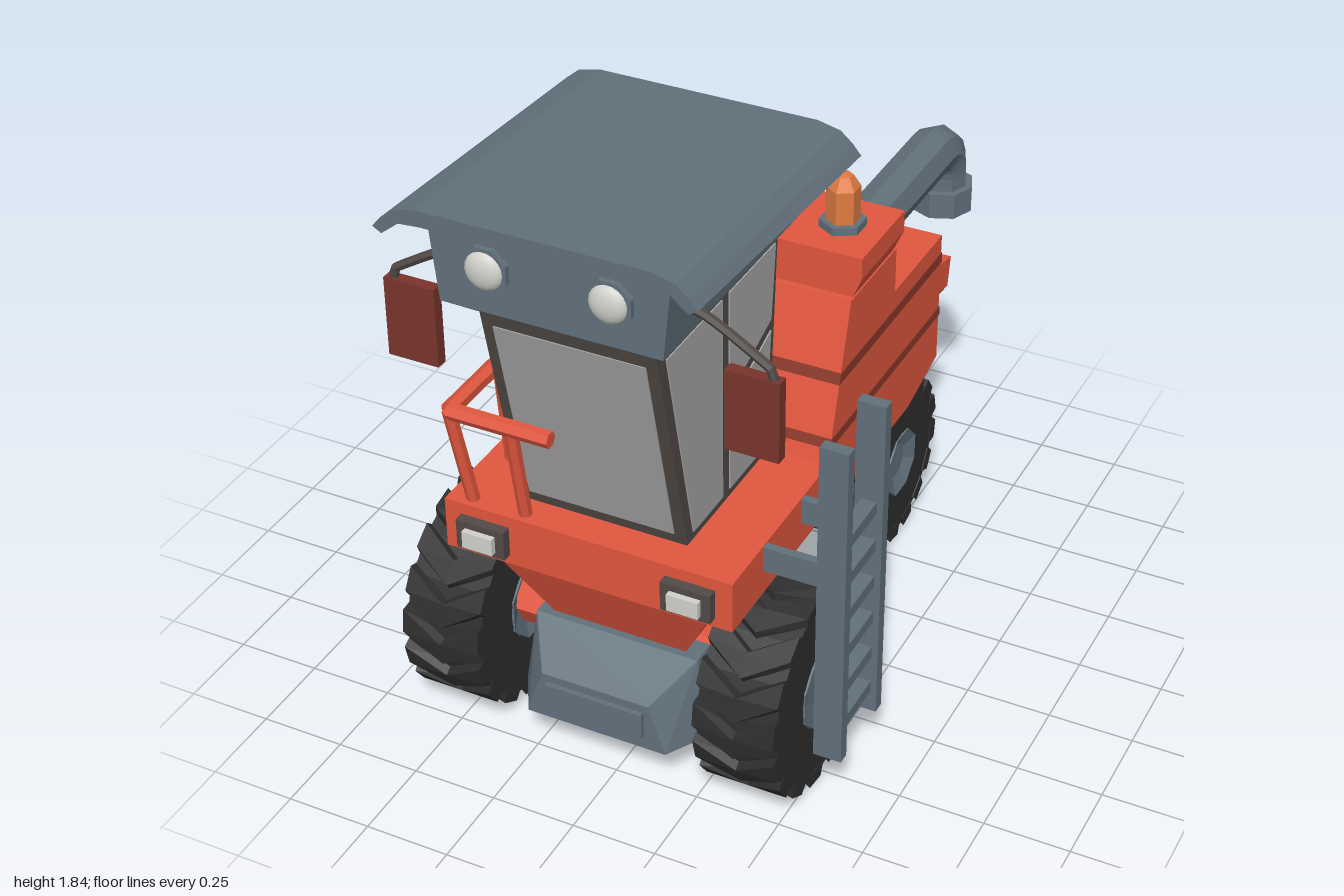
import * as THREE from 'three';
import { mergeGeometries } from 'three/addons/utils/BufferGeometryUtils.js';
import { ConvexGeometry } from 'three/addons/geometries/ConvexGeometry.js';

const V = (x, y, z) => new THREE.Vector3(x, y, z);
const paint = (color) => new THREE.MeshStandardMaterial({ color, flatShading: true });
const RED = paint(0xe2573f), BAND = paint(0x8c382a), MIRROR = paint(0x7a342d), SLATE = paint(0x62717c);
const RUBBER = paint(0x2e2e2e), FRAME = paint(0x524a46), GLASS = paint(0xa6a6a6), AMBER = paint(0xe07b42);
const LENS = new THREE.MeshStandardMaterial({ color: 0xd2d2cc });

function part(name, geo, mat, parent) {
  const m = new THREE.Mesh(geo, mat);
  m.name = name;
  parent.add(m);
  return m;
}

// Box given by its limits on each axis
function box(name, x0, x1, y0, y1, z0, z1, mat, parent) {
  const m = part(name, new THREE.BoxGeometry(x1 - x0, y1 - y0, z1 - z0), mat, parent);
  m.position.set((x0 + x1) / 2, (y0 + y1) / 2, (z0 + z1) / 2);
  return m;
}

// Convex solid from symmetric corner entries [half width, y, z]
const solid = (name, list, mat, parent) =>
  part(name, new ConvexGeometry(list.flatMap(([x, y, z]) => [V(x, y, z), V(-x, y, z)])), mat, parent);

// Horizontal rectangle for solid(): half width, height, front and rear z
const level = (w, y, front, rear) => [[w, y, front], [w, y, rear]];

// Side outline of [z, y] points extruded across x
function slab(name, outline, halfWidth, mat, parent) {
  const s = new THREE.Shape(outline.map(([z, y]) => new THREE.Vector2(-z, y)));
  const g = new THREE.ExtrudeGeometry(s, { depth: halfWidth * 2, bevelEnabled: false });
  g.translate(0, 0, -halfWidth).rotateY(Math.PI / 2);
  return part(name, g, mat, parent);
}

// Straight bar between two points
function bar(name, a, b, r, mat, parent) {
  const m = part(name, new THREE.CylinderGeometry(r, r, a.distanceTo(b), 6), mat, parent);
  m.position.copy(a).lerp(b, 0.5);
  m.quaternion.setFromUnitVectors(V(0, 1, 0), b.clone().sub(a).normalize());
  return m;
}

const lathe = (pts, n) => new THREE.LatheGeometry(pts.map(([r, y]) => new THREE.Vector2(r, y)), n).rotateZ(Math.PI / 2);

// Wheel on the x axis: tyre with chevron lugs and an eight-sided hub
function wheel(name, R, w, hub) {
  const g = new THREE.Group();
  g.name = name;
  const r0 = R - 0.024, h = w / 2, n = 16, lugs = [];
  part('tyre', lathe([[hub, -h + 0.003], [r0, -h + 0.003], [r0, h - 0.003], [hub, h - 0.003]], 32), RUBBER, g);
  for (let i = 0; i < n; i++) for (const side of [-1, 1]) {
    const pts = [];
    for (const [x, shift] of [[0, -0.1], [side * h, 0.14]])
      for (const [r, half] of [[r0 - 0.015, 0.16], [R, 0.11]])
        for (const s of [-half, half]) {
          const a = (i / n) * Math.PI * 2 + shift + s;
          pts.push(V(x, r * Math.sin(a), r * Math.cos(a)));
        }
    lugs.push(new ConvexGeometry(pts));
  }
  part('treadLugs', mergeGeometries(lugs), RUBBER, g);
  const c = h * 0.82;
  const rim = lathe([[0, -c], [hub * 0.55, -c], [hub * 1.04, -h - 0.002], [hub * 1.04, h + 0.002], [hub * 0.55, c], [0, c]], 8);
  part('hub', rim.rotateX(Math.PI / 8), SLATE, g);
  return g;
}

export function createModel() {
  const model = new THREE.Group();
  model.name = 'combineHarvester';
  // The machine is symmetric about a line beside the ladder offset
  const m = new THREE.Group();
  m.name = 'machine';
  m.position.x = -0.05;
  model.add(m);

  // Main body, bands, hood and rear housing
  slab('body', [[0.79, 0.66], [0.79, 0.815], [0.2, 0.815], [0.07, 1.27], [-0.235, 1.27], [-0.235, 1.13],
    [-0.575, 1.13], [-0.575, 0.715], [-0.37, 0.66]], 0.43, RED, m);
  const slope = (y) => 0.2 - (y - 0.815) * 0.286 + 0.003;
  for (const [y0, y1] of [[0.86, 0.888], [1.04, 1.072]])
    slab('bodyBand', [[slope(y0), y0], [slope(y1), y1], [-0.578, y1], [-0.578, y0]], 0.432, BAND, m);
  solid('hood', [...level(0.425, 1.27, 0.05, -0.22), ...level(0.45, 1.33, 0.05, -0.235), ...level(0.45, 1.395, 0.05, -0.235)], RED, m);
  solid('rearHousing', [[0.357, 0.945, -0.56], [0.357, 0.893, -0.845], [0.357, 0.85, -0.56], [0.357, 0.8, -0.828],
    [0.27, 0.71, -0.56], [0.27, 0.665, -0.8]], RED, m);
  solid('rearChute', [...level(0.17, 0.72, -0.3, -0.8), [0.17, 0.66, -0.3], [0.13, 0.5, -0.745], [0.13, 0.42, -0.24], [0.13, 0.42, -0.7]], RED, m);
  solid('belly', [...level(0.355, 0.665, 0.74, -0.31), ...level(0.205, 0.39, 0.62, -0.235)], RED, m);

  // Feeder housing with front slot
  solid('feeder', [[0.25, 0.388, 0], [0.25, 0.388, 0.64], [0.29, 0.14, 0.29], [0.29, 0.14, 0.64],
    [0.165, 0.29, 0.77], [0.215, 0.14, 0.77]], SLATE, m);
  box('feederSlot', -0.15, 0.15, 0.185, 0.265, 0.74, 0.785, SLATE, m);

  // Axles and wheels
  bar('frontAxle', V(-0.4, 0.33, 0.51), V(0.4, 0.33, 0.51), 0.085, RED, m);
  bar('rearAxle', V(-0.2, 0.275, -0.607), V(0.2, 0.275, -0.607), 0.05, RED, m);
  box('rearAxlePost', -0.05, 0.05, 0.26, 0.44, -0.66, -0.55, RED, m);
  for (const s of [-1, 1]) {
    const f = wheel('frontWheel', 0.325, 0.24, 0.13);
    f.position.set(s * 0.45, 0.33, 0.51);
    const r = wheel('rearWheel', 0.27, 0.2, 0.105);
    r.position.set(s * 0.22, 0.275, -0.607);
    m.add(f, r);
  }

  // Cab frame and glass panes
  solid('cabFrame', [...level(0.25, 0.81, 0.69, 0.2), ...level(0.25, 1.51, 0.85, 0.15)], FRAME, m);
  const face = (y) => 0.69 + (y - 0.81) * 0.2286;
  solid('windscreen', [0.85, 1.45].flatMap((y) => [[0.217, y, face(y) + 0.004], [0.217, y, face(y) - 0.02]]), GLASS, m);
  const panes = [
    [[0.797, 1.46], [0.487, 1.46], [0.487, 0.84], [0.66, 0.84]],
    [[0.445, 1.46], [0.17, 1.46], [0.195, 1.235], [0.445, 1.145]],
    [[0.445, 1.107], [0.195, 1.2], [0.228, 0.84], [0.445, 0.84]],
  ];
  for (const p of panes) slab('sideWindow', p, 0.254, GLASS, m);

  // Roof base and drooping canopy
  solid('roofBase', [...level(0.335, 1.77, 0.925, 0.12), ...level(0.312, 1.55, 0.925, 0.125), ...level(0.25, 1.5, 0.86, 0.15)], SLATE, m);
  const half = [[0.32, 0], [0.385, -0.015], [0.42, -0.045], [0.445, -0.075], [0.42, -0.09], [0.37, -0.05], [0.31, -0.045]];
  const rim = [...half, ...half.map(([x, y]) => [-x, y]).reverse()].map(([x, y]) => new THREE.Vector2(x, y));
  const roof = new THREE.ExtrudeGeometry(new THREE.Shape(rim), { depth: 0.935, bevelEnabled: false });
  const p = roof.attributes.position;
  for (let i = 0; i < p.count; i++) p.setY(i, p.getY(i) + 1.79 + p.getZ(i) * 0.059);
  roof.translate(0, 0, 0.065);
  part('roofCanopy', roof, SLATE, m);

  // Lamps, mirrors and headlights on both sides
  for (const s of [-1, 1]) {
    const ring = part('lampRing', new THREE.CylinderGeometry(0.068, 0.068, 0.05, 8).rotateY(Math.PI / 8).rotateX(Math.PI / 2), SLATE, m);
    ring.position.set(s * 0.172, 1.68, 0.915);
    const lens = part('roofLamp', new THREE.SphereGeometry(0.055, 16, 10), LENS, m);
    lens.position.set(s * 0.172, 1.68, 0.935);
    lens.scale.z = 0.5;

    const path = new THREE.CatmullRomCurve3([V(s * 0.3, 1.625, 0.785), V(s * 0.35, 1.615, 0.785), V(s * 0.5, 1.53, 0.785),
      V(s * 0.535, 1.505, 0.785), V(s * 0.54, 1.46, 0.785)]);
    part('mirrorArm', new THREE.TubeGeometry(path, 12, 0.013, 6), FRAME, m);
    const mx = s * 0.488;
    box('mirror', mx - 0.075, mx + 0.075, 1.245, 1.48, 0.765, 0.8, MIRROR, m);

    const hx = s * 0.307;
    box('headlightFrame', hx - 0.073, hx + 0.073, 0.69, 0.78, 0.78, 0.82, FRAME, m);
    box('headlight', hx - 0.046, hx + 0.046, 0.708, 0.76, 0.8, 0.838, LENS, m);
  }

  // Beacon
  const hex = (pts) => lathe(pts, 6).rotateZ(-Math.PI / 2);
  part('beaconBase', hex([[0, 0], [0.066, 0], [0.066, 0.025], [0, 0.025]]), SLATE, m).position.set(0.33, 1.393, -0.09);
  part('beacon', hex([[0, 0], [0.048, 0], [0.048, 0.1], [0.026, 0.135], [0, 0.138]]), AMBER, m).position.set(0.33, 1.417, -0.09);

  // Unloading pipe with collar
  const pipe = new THREE.CurvePath();
  pipe.add(new THREE.LineCurve3(V(0.295, 1.255, -0.15), V(0.295, 1.255, -0.79)));
  pipe.add(new THREE.QuadraticBezierCurve3(V(0.295, 1.255, -0.79), V(0.295, 1.255, -0.905), V(0.295, 1.13, -0.905)));
  pipe.add(new THREE.LineCurve3(V(0.295, 1.13, -0.905), V(0.295, 1.06, -0.905)));
  part('unloadingPipe', new THREE.TubeGeometry(pipe, 28, 0.074, 8), SLATE, m);
  part('pipeCollar', new THREE.CylinderGeometry(0.095, 0.095, 0.08, 8), SLATE, m).position.set(0.295, 1.068, -0.905);

  // Ladder on the left side
  const ladder = new THREE.Group();
  ladder.name = 'ladder';
  m.add(ladder);
  for (const z of [0.36, 0.595]) {
    box('ladderRail', 0.587, 0.67, 0.165, 1.185, z - 0.018, z + 0.018, SLATE, ladder);
    box('ladderArm', 0.4, 0.6, 0.735, 0.812, z - 0.012, z + 0.012, SLATE, ladder);
  }
  for (let i = 0; i < 6; i++) {
    const y = 0.25 + i * 0.122;
    box('ladderStep', 0.607, 0.652, y - 0.018, y + 0.018, 0.36, 0.595, SLATE, ladder);
  }

  // Handrail around the right side of the platform
  const rail = new THREE.Group();
  rail.name = 'handrail';
  m.add(rail);
  const corner = V(-0.385, 1.125, 0.81);
  bar('topRail', V(-0.08, 1.125, 0.81), corner, 0.024, RED, rail);
  bar('topRail', corner, V(-0.385, 1.125, 0.08), 0.024, RED, rail);
  bar('post', V(-0.36, 0.81, 0.755), corner, 0.019, RED, rail);
  bar('post', V(-0.2, 0.81, 0.755), V(-0.2, 1.125, 0.81), 0.019, RED, rail);
  for (const z of [0.55, 0.32]) bar('post', V(-0.36, 0.81, z), V(-0.385, 1.125, z), 0.019, RED, rail);
  return model;
}
